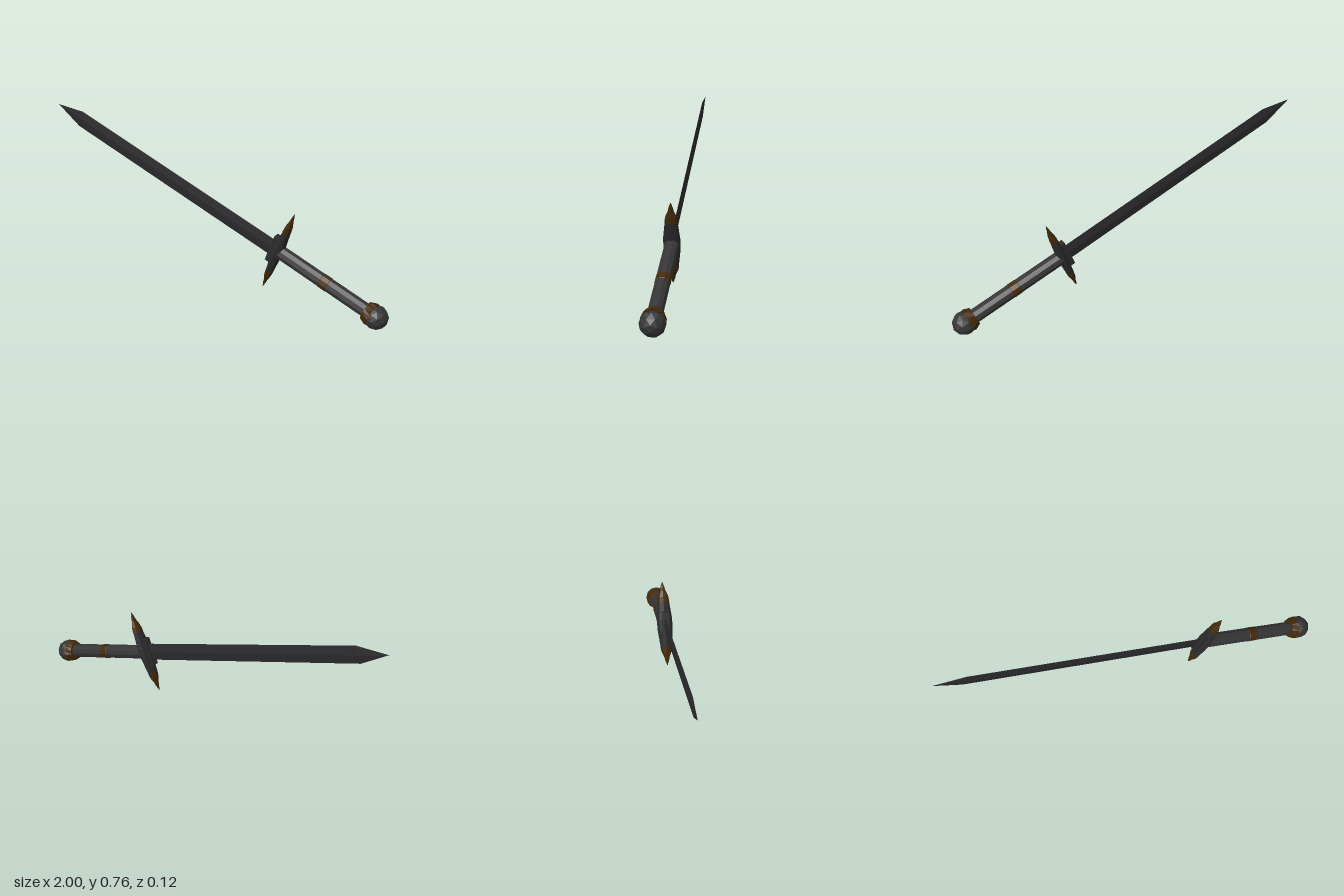
import * as THREE from 'three';

const steel = new THREE.MeshStandardMaterial({ name: 'darkSteel', color: 0x2b2b2d });
const grip = new THREE.MeshStandardMaterial({ name: 'charcoalGrip', color: 0x353535 });
const bronze = new THREE.MeshStandardMaterial({ name: 'darkBronze', color: 0x432a08 });

// Gives each facet its own normal
function facet(geometry) {
  const flat = geometry.index ? geometry.toNonIndexed() : geometry;
  flat.computeVertexNormals();
  return flat;
}

// Faceted solid around y from [radius, height] pairs, flattened per axis
function turned(name, material, profile, sides, sx = 1, sz = 1) {
  const points = profile.map(([r, y]) => new THREE.Vector2(r, y));
  const geometry = new THREE.LatheGeometry(points, sides).scale(sx, 1, sz);
  const mesh = new THREE.Mesh(facet(geometry), material);
  mesh.name = name;
  return mesh;
}

export function createModel() {
  // Sword stands along local y: pommel at the origin, tip upward
  const sword = new THREE.Group();
  sword.name = 'sword';

  // Blade: flat diamond section with a slight lean
  const blade = turned('blade', steel,
    [[0, 0], [0.048, 0], [0.047, 1.3], [0, 1.46]], 4, 1, 0.15);
  blade.position.set(0, 0.6, 0.003);
  blade.rotation.x = 0.011;
  sword.add(blade);

  // Grip with its middle band
  sword.add(turned('grip', grip, [[0.037, 0.03], [0.037, 0.585]], 10));
  sword.add(turned('gripBand', bronze,
    [[0.036, 0.278], [0.0385, 0.281], [0.0385, 0.322], [0.036, 0.325]], 10));

  // Pommel and its scalloped collar
  const pommel = new THREE.Mesh(facet(new THREE.IcosahedronGeometry(0.062, 1)), grip);
  pommel.name = 'pommel';
  sword.add(pommel);
  const collarShape = new THREE.CylinderGeometry(0.047, 0.06, 0.04, 16, 1);
  const pos = collarShape.attributes.position;
  for (let i = 0; i < pos.count; i++) {
    if (pos.getY(i) < 0) {
      const angle = Math.atan2(pos.getX(i), pos.getZ(i));
      pos.setY(i, -0.02 + 0.009 * Math.cos(angle * 8));
    }
  }
  const collar = new THREE.Mesh(facet(collarShape), bronze);
  collar.name = 'pommelCollar';
  collar.position.y = 0.042;
  sword.add(collar);

  // Crossguard: swelling bar with a tapered bronze tip at each end
  const guard = new THREE.Group();
  guard.name = 'crossguard';
  guard.position.set(0, 0.587, 0.002);
  guard.rotation.y = 0.03;
  const bar = turned('guardBar', steel,
    [[0.031, -0.13], [0.042, -0.03], [0.042, 0.03], [0.031, 0.13]], 8, 0.62, 1);
  bar.rotation.z = Math.PI / 2;
  guard.add(bar);
  for (const side of [-1, 1]) {
    const tip = turned(side > 0 ? 'upperGuardTip' : 'lowerGuardTip', bronze,
      [[0, 0.127], [0.033, 0.127], [0.028, 0.158], [0.015, 0.19], [0.011, 0.21], [0, 0.242]],
      8, 0.62, 1);
    tip.rotation.z = -side * Math.PI / 2;
    guard.add(tip);
  }
  sword.add(guard);

  // Stepped block where the blade meets the guard
  const block = new THREE.Mesh(new THREE.BoxGeometry(0.155, 0.05, 0.036), steel);
  block.name = 'bladeSocket';
  block.position.set(0, 0.605, 0.004);
  sword.add(block);

  // Lay the sword on its slant
  sword.rotation.z = THREE.MathUtils.degToRad(70.1);
  sword.position.set(0.937, 0.063, 0);
  const model = new THREE.Group();
  model.add(sword);
  return model;
}
